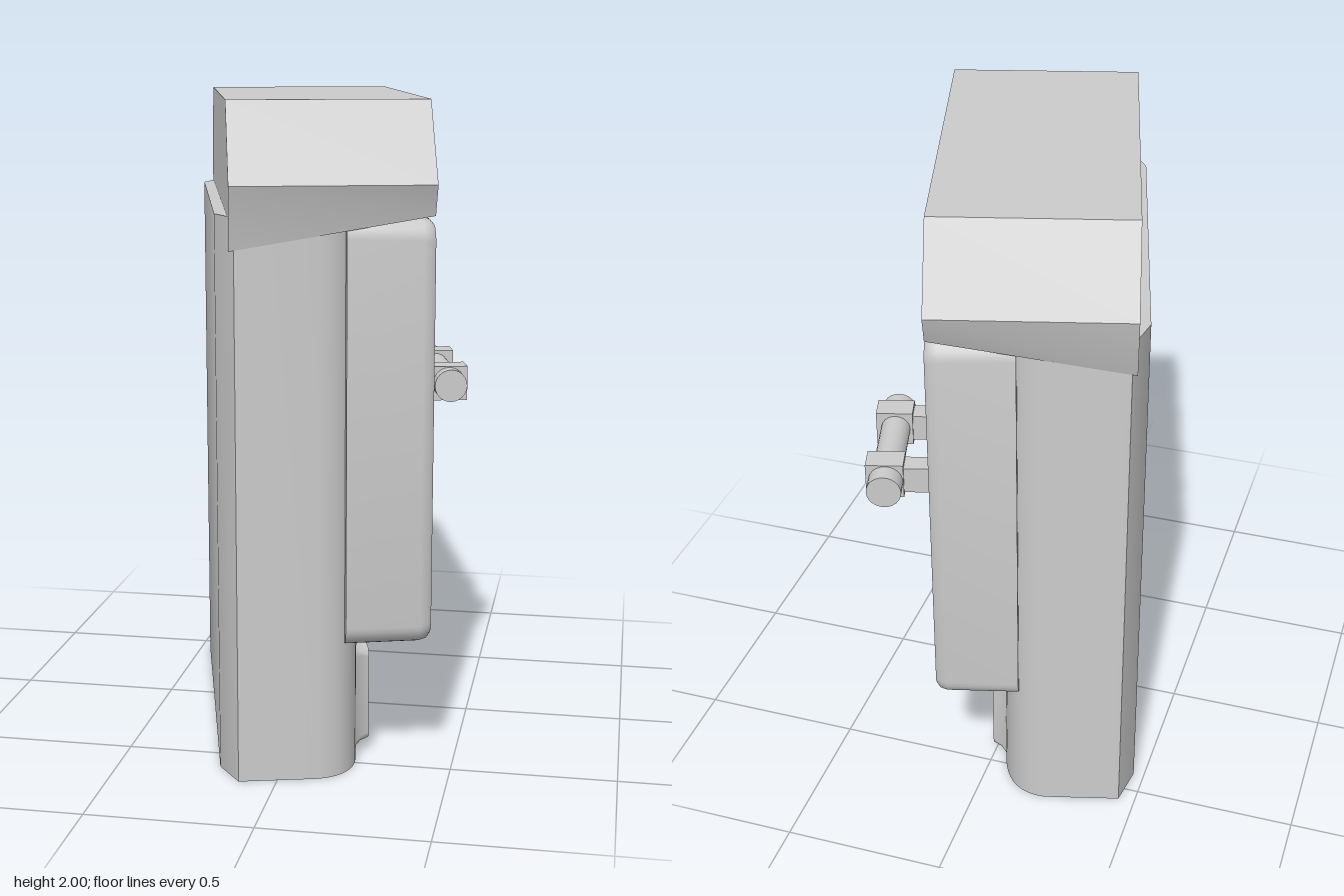
import * as THREE from 'three';
import { toCreasedNormals } from 'three/addons/utils/BufferGeometryUtils.js';

const material = new THREE.MeshStandardMaterial({ color: 0xcccccc });

function add(parent, name, geometry, x = 0, y = 0, z = 0) {
  const mesh = new THREE.Mesh(geometry, material);
  mesh.name = name;
  mesh.position.set(x, y, z);
  parent.add(mesh);
  return mesh;
}

// Skins a list of equal-length rings of [x, y, z] points, closing both ends
function loft(rings, crease = 0.7, capEnd = true) {
  const n = rings[0].length, pos = rings.flat(2), index = [];
  for (let k = 0; k < rings.length - 1; k++) {
    for (let i = 0; i < n; i++) {
      const a = k * n + i, b = k * n + (i + 1) % n;
      index.push(a, b, b + n, a, b + n, a + n);
    }
  }
  const last = (rings.length - 1) * n;
  for (let i = 1; i < n - 1; i++) {
    index.push(0, i + 1, i);
    if (capEnd) index.push(last, last + i, last + i + 1);
  }
  const g = new THREE.BufferGeometry();
  g.setAttribute('position', new THREE.Float32BufferAttribute(pos, 3));
  g.setIndex(index);
  return toCreasedNormals(g, crease);
}

// Rounded rectangle outline, counter-clockwise, at depth z
function roundRect(w, h, r, z, steps = 6) {
  const pts = [];
  [[1, 1], [-1, 1], [-1, -1], [1, -1]].forEach(([sx, sy], q) => {
    for (let i = 0; i <= steps; i++) {
      const a = (q + i / steps) * Math.PI / 2;
      pts.push([sx * (w - r) + r * Math.cos(a), sy * (h - r) + r * Math.sin(a), z]);
    }
  });
  return pts;
}

function outline(points, Type = THREE.Shape) {
  return new Type(points.map(p => new THREE.Vector2(p[0], p[1])));
}

// Main cabinet: upright prism with rounded front corners
function buildBody(parent) {
  const s = new THREE.Shape();
  s.moveTo(-0.53, 0.34);
  s.lineTo(-0.647, 0.29);
  s.lineTo(-0.647, 0.05);
  s.quadraticCurveTo(-0.63, -0.06, -0.5, -0.077);
  s.lineTo(0.5, -0.077);
  s.quadraticCurveTo(0.63, -0.06, 0.647, 0.05);
  s.lineTo(0.647, 0.29);
  s.lineTo(0.53, 0.34);
  s.closePath();
  const g = new THREE.ExtrudeGeometry(s, { depth: 1.68, bevelEnabled: false, curveSegments: 8 });
  g.rotateX(-Math.PI / 2);
  add(parent, 'body', toCreasedNormals(g, 0.7));

  add(parent, 'lowerPanel', loft([
    roundRect(0.5, 0.165, 0.03, 0.07), roundRect(0.465, 0.15, 0.02, 0.095),
    roundRect(0.45, 0.145, 0.02, 0.122), roundRect(0.435, 0.13, 0.015, 0.122),
    roundRect(0.425, 0.12, 0.01, 0.11),
  ]), 0, 0.185, 0);
}

// Overhanging hood with a recessed front and three domed lamps
function buildHood(parent) {
  const hex = (bottom, z, sx = 1, sy = 1) =>
    [[0.65, bottom], [0.69, 1.77], [0.535, 2], [-0.535, 2], [-0.69, 1.77], [-0.65, bottom]]
      .map(([x, y]) => [x * sx, 1.84 + (y - 1.84) * sy, z]);
  add(parent, 'hood', loft([
    hex(1.585, -0.305), hex(1.68, 0.28), hex(1.68, 0.28, 0.97, 0.91), hex(1.68, 0.23, 0.94, 0.82),
  ], 0.5));
  for (const x of [-0.337, 0, 0.337]) {
    const dome = new THREE.SphereGeometry(0.105, 32, 10, 0, Math.PI * 2, 0, Math.PI / 2);
    dome.rotateX(Math.PI / 2).scale(1, 1, 0.45);
    add(parent, 'hoodLamp', dome, x, 1.84, 0.228);
  }
}

const SLOTS = [0.085, 0.38];

// Raised tray with sloped inner walls and a slotted floor
function buildTray(parent) {
  const tray = new THREE.Group();
  tray.name = 'switchTray';
  tray.position.y = 1.04;
  parent.add(tray);
  add(tray, 'trayRim', loft([
    roundRect(0.645, 0.635, 0.06, 0.03), roundRect(0.65, 0.63, 0.06, 0.25),
    roundRect(0.645, 0.625, 0.06, 0.272), roundRect(0.63, 0.61, 0.05, 0.285),
    roundRect(0.605, 0.585, 0.045, 0.28), roundRect(0.59, 0.57, 0.04, 0.265),
    roundRect(0.525, 0.52, 0.03, 0.17),
  ], 0.7, false));
  const floor = outline(roundRect(0.527, 0.522, 0.03, 0));
  for (const x of SLOTS) {
    floor.holes.push(outline([[x - 0.035, -0.34], [x - 0.035, 0.37], [x + 0.035, 0.37], [x + 0.035, -0.34]], THREE.Path));
  }
  add(tray, 'trayFloor', new THREE.ExtrudeGeometry(floor, { depth: 0.05, bevelEnabled: false }), 0, 0, 0.12);
  add(tray, 'slotBacking', new THREE.BoxGeometry(0.5, 0.9, 0.02), 0.23, 0, 0.112);
}

// Capsule lamp behind a wire guard
function buildLamp(parent, y) {
  const lamp = new THREE.Group();
  lamp.name = 'cagedLamp';
  lamp.position.set(-0.256, y, 0.185);
  parent.add(lamp);
  const half = 0.13, r = 0.115;
  add(lamp, 'bulb', new THREE.CapsuleGeometry(0.108, 2 * half, 10, 28).rotateZ(Math.PI / 2));
  for (const x of [-half, half]) {
    add(lamp, 'guardHoop', new THREE.TorusGeometry(r, 0.008, 6, 32).rotateY(Math.PI / 2), x);
  }
  for (const angle of [-72, -18, 18, 72]) {
    const a = THREE.MathUtils.degToRad(angle), pts = [];
    for (let i = 0; i <= 16; i++) {
      const t = Math.PI * i / 16, c = Math.cos(t), d = r * Math.sin(t);
      const x = Math.abs(c) < 1e-6 ? 0 : Math.sign(c) * half + r * c;
      pts.push(new THREE.Vector3(x, d * Math.sin(a), d * Math.cos(a)));
    }
    add(lamp, 'guardWire', new THREE.TubeGeometry(new THREE.CatmullRomCurve3(pts), 40, 0.007, 6));
  }
}

// Pull handle: two arms out of the slots holding a cross bar
function buildHandle(parent) {
  const handle = new THREE.Group();
  handle.name = 'pullHandle';
  handle.position.y = 1.06;
  parent.add(handle);
  const bar = (name, r, length, x) =>
    add(handle, name, new THREE.CylinderGeometry(r, r, length, 24).rotateZ(Math.PI / 2), x, 0, 0.438);
  bar('crossBar', 0.046, 0.4, 0.24);
  bar('barEnd', 0.053, 0.06, 0.03);
  bar('barEnd', 0.053, 0.06, 0.45);
  for (const x of SLOTS) {
    add(handle, 'handleArm', new THREE.BoxGeometry(0.066, 0.085, 0.32), x, 0, 0.28);
    add(handle, 'armCollar', new THREE.BoxGeometry(0.08, 0.112, 0.115), x, 0, 0.441);
  }
}

export function createModel() {
  const model = new THREE.Group();
  model.name = 'wallSwitchBox';
  const box = new THREE.Group();
  box.name = 'cabinet';
  box.rotation.y = THREE.MathUtils.degToRad(105.1);
  model.add(box);
  buildBody(box);
  buildHood(box);
  buildTray(box);
  for (const y of [0.765, 1.055, 1.352]) buildLamp(box, y);
  buildHandle(box);
  return model;
}
